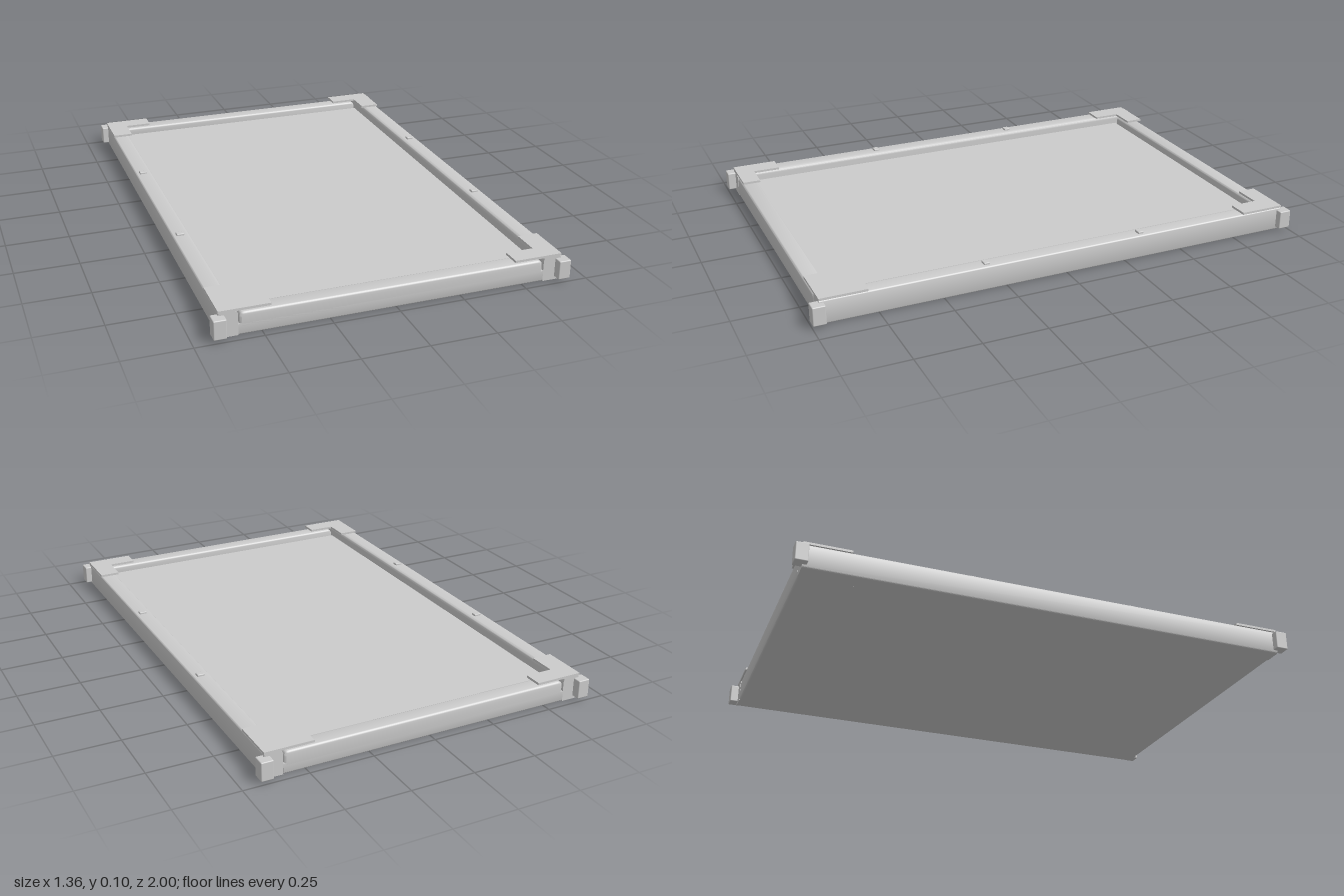
import * as THREE from 'three';
import { RoundedBoxGeometry } from 'three/addons/geometries/RoundedBoxGeometry.js';
import { toCreasedNormals } from 'three/addons/utils/BufferGeometryUtils.js';

const material = new THREE.MeshStandardMaterial({ color: 0xcccccc });

// Rectangle outline with its own radius at the bottom-left, bottom-right, top-right and top-left corners
function roundedRect(x0, y0, x1, y1, [bl, br, tr, tl]) {
  const s = new THREE.Shape();
  s.moveTo(x0 + bl, y0);
  s.lineTo(x1 - br, y0);
  s.quadraticCurveTo(x1, y0, x1, y0 + br);
  s.lineTo(x1, y1 - tr);
  s.quadraticCurveTo(x1, y1, x1 - tr, y1);
  s.lineTo(x0 + tl, y1);
  s.quadraticCurveTo(x0, y1, x0, y1 - tl);
  s.lineTo(x0, y0 + bl);
  s.quadraticCurveTo(x0, y0, x0 + bl, y0);
  return s;
}

// Extrusion along +z from z = 0; the optional bevel stays inside the outline and the depth
function extrude(shape, depth, bevel = 0) {
  const g = new THREE.ExtrudeGeometry(shape, {
    depth: depth - 2 * bevel, curveSegments: 5, bevelEnabled: bevel > 0,
    bevelThickness: bevel, bevelSize: bevel, bevelOffset: -bevel, bevelSegments: 3,
  });
  g.translate(0, 0, bevel);
  return toCreasedNormals(g, 0.6);
}

export function createModel() {
  const model = new THREE.Group();
  model.name = 'tray';
  const add = (name, geometry, x = 0, y = 0, z = 0) => {
    const mesh = new THREE.Mesh(geometry, material);
    mesh.name = name;
    mesh.position.set(x, y, z);
    model.add(mesh);
    return mesh;
  };

  // Base slab between the rails, and the raised floor panel with a thin gap around it
  add('base', new THREE.BoxGeometry(1.17, 0.04, 1.8), 0, 0.02, 0);
  add('floorPanel', new THREE.BoxGeometry(1.16, 0.019, 1.792), 0, 0.0485, 0);

  // Side rails, running the full length
  const sideRail = extrude(roundedRect(0.585, 0, 0.655, 0.095, [0, 0.01, 0.01, 0.016]), 1.935);
  add('leftRail', sideRail, 0, 0, -0.9675);
  add('rightRail', sideRail, 0, 0, 0.9675).rotation.y = Math.PI;

  // End rails: a rounded upper wall, slotted off from the side rails, over a full-width lower band
  const upperWall = extrude(roundedRect(-0.58, 0.025, 0.58, 0.086, [0, 0, 0.02, 0.02]), 0.066, 0.008);
  const lowerBand = extrude(roundedRect(-0.968, 0, -0.9, 0.042, [0.01, 0, 0, 0]), 1.17);
  lowerBand.rotateY(Math.PI / 2);
  for (const turn of [0, Math.PI]) {
    const prefix = turn ? 'back' : 'front';
    const wall = new THREE.Mesh(upperWall, material);
    wall.name = prefix + 'UpperWall';
    wall.position.z = 0.902;
    const band = new THREE.Mesh(lowerBand, material);
    band.name = prefix + 'LowerBand';
    band.position.x = -0.585;
    const rail = new THREE.Group();
    rail.name = prefix + 'Rail';
    rail.rotation.y = turn;
    rail.add(wall, band);
    model.add(rail);
  }

  // L-shaped plates and bumper blocks at the four corners
  const bumper = new RoundedBoxGeometry(0.048, 0.074, 0.05, 2, 0.004);
  const corner = [[0.656, 0.969], [0.656, 0.787], [0.575, 0.787], [0.575, 0.897], [0.466, 0.897], [0.466, 0.969]];
  for (const sx of [1, -1]) {
    for (const sz of [1, -1]) {
      const plate = extrude(new THREE.Shape(corner.map(([x, z]) => new THREE.Vector2(x * sx, -z * sz))), 0.009);
      plate.rotateX(-Math.PI / 2);
      add('cornerPlate', plate, 0, 0.095, 0);
      add('cornerBumper', bumper, sx * 0.657, 0.049, sz * 0.975);
    }
  }

  // Small clips on the side rails
  const clip = new RoundedBoxGeometry(0.03, 0.012, 0.024, 2, 0.003);
  for (const sx of [1, -1]) {
    for (const z of [0.325, -0.325]) add('clip', clip, sx * 0.624, 0.097, z);
  }
  return model;
}
